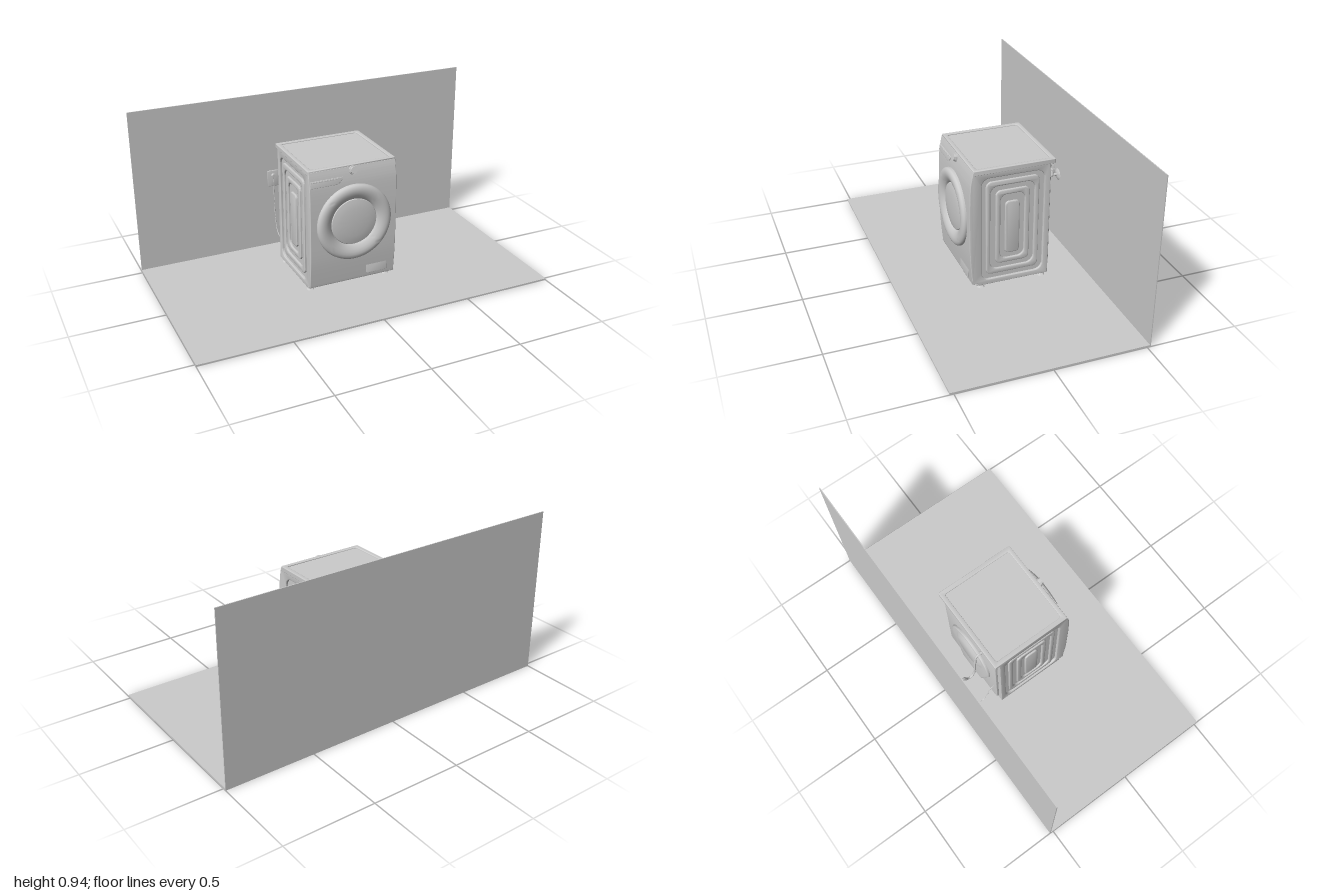
import * as THREE from 'three';
import { toCreasedNormals } from 'three/addons/utils/BufferGeometryUtils.js';

const material = new THREE.MeshStandardMaterial({ color: 0xcccccc, side: THREE.DoubleSide });

export function createModel() {
  const model = new THREE.Group();
  model.name = 'washingMachineInRoom';

  function add(name, geometry, x = 0, y = 0, z = 0, parent = model) {
    const mesh = new THREE.Mesh(toCreasedNormals(geometry, 0.6), material);
    mesh.name = name;
    mesh.position.set(x, y, z);
    parent.add(mesh);
    return mesh;
  }
  const box = (name, w, h, d, x, y, z) => add(name, new THREE.BoxGeometry(w, h, d), x, y, z);
  const cyl = (name, r1, r2, h, x, y, z, n = 24) => add(name, new THREE.CylinderGeometry(r1, r2, h, n), x, y, z);
  const tube = (name, points, r, n = 60) => add(name, new THREE.TubeGeometry(
    new THREE.CatmullRomCurve3(points.map(p => new THREE.Vector3(...p))), n, r, 10));

  // Rounded rectangle between two corners
  function roundRect(x0, y0, x1, y1, r, target = new THREE.Shape()) {
    target.moveTo(x0 + r, y0);
    target.lineTo(x1 - r, y0).absarc(x1 - r, y0 + r, r, -Math.PI / 2, 0, false);
    target.lineTo(x1, y1 - r).absarc(x1 - r, y1 - r, r, 0, Math.PI / 2, false);
    target.lineTo(x0 + r, y1).absarc(x0 + r, y1 - r, r, Math.PI / 2, Math.PI, false);
    target.lineTo(x0, y0 + r).absarc(x0 + r, y0 + r, r, Math.PI, Math.PI * 1.5, false);
    return target;
  }
  // Centred extrusion whose bevel stays inside the outline
  function extrude(shape, depth, bevel = 0) {
    const g = new THREE.ExtrudeGeometry(shape, {
      depth: depth - 2 * bevel, bevelEnabled: bevel > 0, bevelThickness: bevel,
      bevelSize: bevel, bevelOffset: -bevel, bevelSegments: 3, curveSegments: 10,
    });
    return g.translate(0, 0, bevel - depth / 2);
  }
  // Extrusion of a (z, y) outline along x
  const sideways = (shape, depth, bevel) => extrude(shape, depth, bevel).rotateY(-Math.PI / 2);

  // Room
  box('floor', 2, 0.01, 1.04, 0, 0.005, 0);
  box('wall', 2, 0.94, 0.005, 0, 0.47, -0.5175);

  // Cabinet with a gently bowed front
  function cabinetOutline() {
    const s = new THREE.Shape();
    s.moveTo(-0.297, 0.033);
    s.lineTo(0.11, 0.033);
    s.lineTo(0.11, 0.045);
    s.lineTo(0.132, 0.048);
    s.splineThru([[0.136, 0.06], [0.148, 0.2], [0.151, 0.35], [0.151, 0.5], [0.147, 0.61], [0.139, 0.67], [0.13, 0.708]]
      .map(p => new THREE.Vector2(...p)));
    s.lineTo(-0.297, 0.705);
    s.closePath();
    return s;
  }
  add('cabinet', sideways(cabinetOutline(), 0.474));

  // Pressed side panels: outer skin, two frames and a centre plate
  const rects = [
    [-0.265, 0.063, 0.085, 0.665, 0.045], [-0.238, 0.09, 0.058, 0.64, 0.03],
    [-0.212, 0.12, 0.034, 0.61, 0.042], [-0.185, 0.148, 0.004, 0.582, 0.028],
    [-0.157, 0.175, -0.022, 0.555, 0.036], [-0.13, 0.203, -0.049, 0.512, 0.022],
  ];
  for (const side of [-1, 1]) {
    const skin = cabinetOutline();
    skin.holes.push(roundRect(...rects[0], new THREE.Path()));
    add('sidePanel', sideways(skin, 0.025, 0.004), side * 0.2375);
    for (const i of [1, 3]) {
      const frame = roundRect(...rects[i]);
      frame.holes.push(roundRect(...rects[i + 1], new THREE.Path()));
      add('sidePanelRib', sideways(frame, 0.022, 0.006), side * 0.236);
    }
    add('sidePanelCentre', sideways(roundRect(...rects[5]), 0.022, 0.006), side * 0.236);
  }

  // Lid with inset top
  const rim = roundRect(-0.2505, -0.128, 0.2505, 0.325, 0.006);
  rim.holes.push(roundRect(-0.225, -0.105, 0.225, 0.3, 0.012, new THREE.Path()));
  add('lidRim', extrude(rim, 0.026, 0.003).rotateX(-Math.PI / 2), 0, 0.703, 0);
  box('lidTop', 0.47, 0.014, 0.42, 0, 0.704, -0.0975);

  // Front seam and service flap
  box('plinthStrip', 0.496, 0.006, 0.02, 0, 0.041, 0.105);
  const flap = add('serviceFlap', extrude(roundRect(-0.062, -0.04, 0.062, 0.04, 0.006), 0.004, 0.001), 0.14, 0.11, 0.1405);
  flap.rotation.x = -0.085;

  // Detergent drawer
  const drawer = new THREE.Shape();
  drawer.moveTo(-0.244, 0.02);
  drawer.lineTo(-0.244, -0.017);
  drawer.lineTo(-0.1, -0.017);
  drawer.quadraticCurveTo(-0.08, -0.015, -0.062, 0.01);
  drawer.lineTo(-0.062, 0.02);
  add('detergentDrawer', extrude(drawer, 0.008, 0.002), 0, 0.643, 0.1425).rotation.x = -0.16;
  box('drawerGrip', 0.15, 0.004, 0.008, -0.165, 0.657, 0.143);

  // Programme knob on the sloping panel
  const knob = new THREE.Group();
  knob.name = 'knob';
  knob.position.set(0, 0.688, 0.134);
  knob.rotation.x = Math.PI / 2 - 0.24;
  model.add(knob);
  add('knobBase', new THREE.CylinderGeometry(0.023, 0.024, 0.01, 32), 0, 0.004, 0, knob);
  add('knobCap', new THREE.CylinderGeometry(0.018, 0.02, 0.012, 32), 0, 0.012, 0, knob);

  // Round door: profile points are (radius, depth)
  const lathe = (points, n = 64) => new THREE.LatheGeometry(points.map(p => new THREE.Vector2(...p)), n).rotateX(Math.PI / 2);
  add('doorRing', lathe([
    [0.213, -0.012], [0.214, 0.008], [0.212, 0.015], [0.206, 0.021], [0.197, 0.025], [0.185, 0.027],
    [0.17, 0.025], [0.155, 0.02], [0.142, 0.012], [0.134, 0.006], [0.13, 0],
  ]), 0, 0.4, 0.149);
  add('doorGlass', lathe([[0.132, 0], [0.128, 0.006], [0.11, 0.01], [0.08, 0.014], [0.04, 0.016], [0, 0.017]]), 0, 0.4, 0.149);

  // Feet
  for (const x of [-0.225, 0.225]) for (const z of [0.08, -0.27]) {
    cyl('footPad', 0.012, 0.02, 0.008, x, 0.015, z);
    cyl('footStem', 0.006, 0.006, 0.02, x, 0.026, z);
    cyl('footNut', 0.012, 0.012, 0.005, x, 0.025, z, 6);
  }

  // Back plate and domed drum cover
  add('backPlate', extrude(roundRect(-0.225, 0.063, 0.225, 0.685, 0.02), 0.016, 0.003), 0, 0, -0.303);
  const cover = new THREE.Shape();
  cover.moveTo(-0.09, 0.085);
  cover.lineTo(0.09, 0.085);
  cover.lineTo(0.17, 0.33);
  cover.absarc(0, 0.36, 0.17, 0, Math.PI, false);
  cover.lineTo(-0.17, 0.33);
  add('backCover', extrude(cover, 0.022, 0.009), 0, 0, -0.314);
  const hub = cyl('backCoverHub', 0.09, 0.125, 0.016, 0, 0.395, -0.329, 48);
  hub.rotation.x = -Math.PI / 2;

  // Inlet hose
  const hx = -0.12;
  tube('inletHose', [[hx, 0.643, -0.315], [hx, 0.641, -0.335], [hx, 0.625, -0.353], [hx, 0.56, -0.363], [hx, 0.47, -0.37],
    [hx, 0.4, -0.379], [hx, 0.372, -0.392], [hx, 0.363, -0.408], [hx, 0.371, -0.423], [hx, 0.393, -0.434]], 0.006);
  cyl('hoseInlet', 0.009, 0.009, 0.03, hx, 0.643, -0.315).rotation.x = Math.PI / 2;
  cyl('hoseNut', 0.009, 0.01, 0.018, hx, 0.397, -0.435, 8).rotation.x = -0.2;

  // Tap
  tube('tapSpout', [[hx, 0.395, -0.435], [hx, 0.41, -0.44], [hx, 0.418, -0.452], [hx, 0.419, -0.47], [hx, 0.419, -0.516]], 0.008, 30);
  cyl('tapFlange', 0.02, 0.034, 0.008, hx, 0.419, -0.511, 32).rotation.x = Math.PI / 2;
  cyl('tapCollar', 0.007, 0.009, 0.02, hx, 0.433, -0.48);
  cyl('tapStem', 0.003, 0.003, 0.03, hx, 0.446, -0.48);
  for (const turn of [0, Math.PI / 2]) {
    const bar = cyl('tapHandle', 0.003, 0.003, 0.028, hx, 0.454, -0.48, 12);
    bar.rotation.set(Math.PI / 2, 0, turn);
  }

  // Power cable, plug and socket
  const cx = -0.2;
  tube('powerCable', [[cx, 0.225, -0.308], [cx, 0.22, -0.327], [cx, 0.195, -0.345], [cx, 0.14, -0.362], [cx, 0.107, -0.385],
    [cx, 0.094, -0.415], [cx, 0.1, -0.447], [cx, 0.127, -0.473], [cx, 0.19, -0.491], [cx, 0.3, -0.501],
    [cx, 0.4, -0.504], [cx, 0.445, -0.504]], 0.0022, 80);
  add('socketPlate', extrude(roundRect(-0.033, -0.048, 0.033, 0.048, 0.006), 0.008, 0.002), cx, 0.43, -0.512);
  cyl('plug', 0.01, 0.013, 0.016, cx, 0.448, -0.504).rotation.x = Math.PI / 2;

  return model;
}
